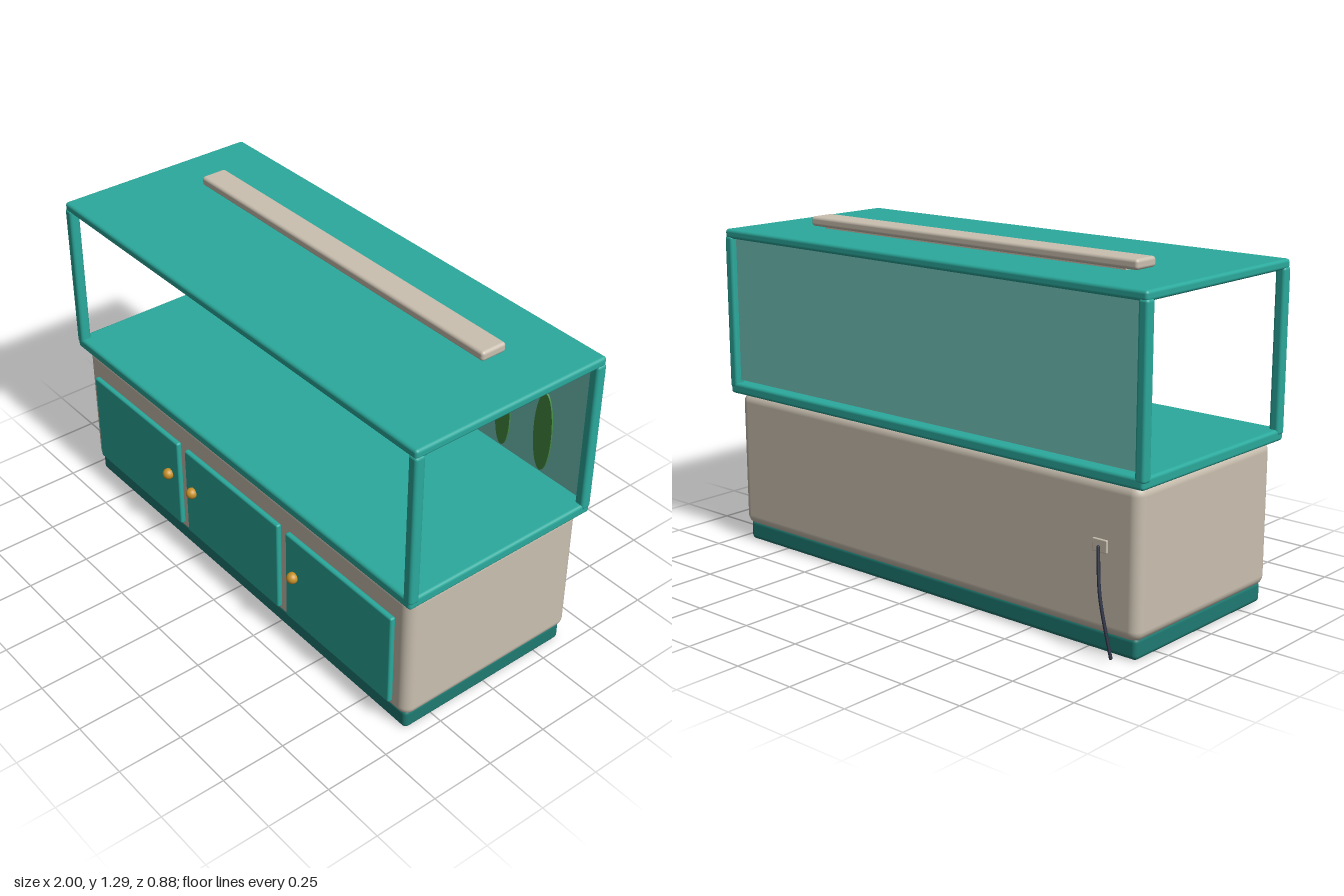
import * as THREE from 'three';
import { RoundedBoxGeometry } from 'three/addons/geometries/RoundedBoxGeometry.js';

const material = (name, color) => {
  const m = new THREE.MeshStandardMaterial({ color });
  m.name = name;
  return m;
};

export function createModel() {
  const teal = material('teal', 0x2ba99c);
  const darkTeal = material('dark teal', 0x1f7a72);
  const beige = material('beige', 0xcac0b0);
  const paleTeal = material('pale teal', 0x74c6bc);
  const green = material('leaf green', 0x438c42);
  const brass = material('brass', 0xc8922a);
  const navy = material('dark navy', 0x2a3044);

  const model = new THREE.Group();
  model.name = 'aquariumCabinet';

  const add = (name, geometry, mat, x = 0, y = 0, z = 0) => {
    const mesh = new THREE.Mesh(geometry, mat);
    mesh.name = name;
    mesh.position.set(x, y, z);
    model.add(mesh);
    return mesh;
  };
  // Rounded box given by its limits along each axis
  const block = (name, mat, [x0, x1], [y0, y1], [z0, z1], radius) =>
    add(name, new RoundedBoxGeometry(x1 - x0, y1 - y0, z1 - z0, 4, radius), mat,
      (x0 + x1) / 2, (y0 + y1) / 2, (z0 + z1) / 2);

  // Cabinet
  block('plinth', darkTeal, [-0.955, 0.955], [0, 0.08], [-0.37, 0.375], 0.018);
  block('cabinet', beige, [-0.97, 0.97], [0.065, 0.605], [-0.387, 0.39], 0.04);

  // Doors with round knobs
  const knobX = [-0.39, -0.235, 0.383];
  [-0.617, 0, 0.617].forEach((x, i) => {
    block('door', teal, [x - 0.286, x + 0.286], [0.11, 0.495], [0.388, 0.41], 0.008);
    add('knob', new THREE.SphereGeometry(0.022, 24, 16), brass, knobX[i], 0.327, 0.419);
  });

  // Tank frame: floor, lid and corner posts
  block('tankFloor', teal, [-0.997, 0.997], [0.6, 0.643], [-0.41, 0.415], 0.012);
  block('tankLid', teal, [-0.997, 0.997], [1.208, 1.244], [-0.41, 0.415], 0.012);
  for (const x of [-0.98, 0.98]) {
    for (const z of [-0.39, 0.396]) {
      block('cornerPost', teal, [x - 0.02, x + 0.02], [0.622, 1.218], [z - 0.021, z + 0.021], 0.012);
    }
  }

  // Back panel with flat plants in front of it
  add('backPanel', new THREE.BoxGeometry(1.91, 0.555, 0.008), paleTeal, 0, 0.9325, -0.388);
  const plants = [
    [-0.745, 0.885, 0.07], [-0.485, 1.055, 0.092], [-0.16, 0.945, 0.08],
    [0.23, 0.837, 0.092], [0.58, 0.898, 0.07], [0.775, 0.99, 0.085],
  ];
  for (const [x, top, width] of plants) {
    const outline = new THREE.Shape().absellipse(0, 0, width / 2, (top - 0.665) / 2, 0, Math.PI * 2);
    const leaf = new THREE.ExtrudeGeometry(outline, { depth: 0.006, bevelEnabled: false, curveSegments: 24 });
    add('plant', leaf, green, x, (top + 0.665) / 2, -0.384);
  }

  // Lamp on the lid
  block('lampFoot', beige, [-0.72, 0.72], [1.24, 1.256], [-0.15, -0.075], 0.004);
  block('lampBar', beige, [-0.777, 0.777], [1.25, 1.287], [-0.166, -0.06], 0.012);

  // Power socket and cable at the back
  block('socketPlate', beige, [-0.845, -0.785], [0.355, 0.4], [-0.395, -0.38], 0.003);
  const cable = new THREE.CatmullRomCurve3([
    new THREE.Vector3(-0.815, 0.375, -0.4),
    new THREE.Vector3(-0.845, 0.22, -0.426),
    new THREE.Vector3(-0.9, 0.02, -0.434),
  ]);
  add('cable', new THREE.TubeGeometry(cable, 16, 0.006, 8), navy);
  for (const t of [0, 1]) {
    const p = cable.getPoint(t);
    add('cableEnd', new THREE.SphereGeometry(0.006, 8, 6), navy, p.x, p.y, p.z);
  }

  return model;
}
